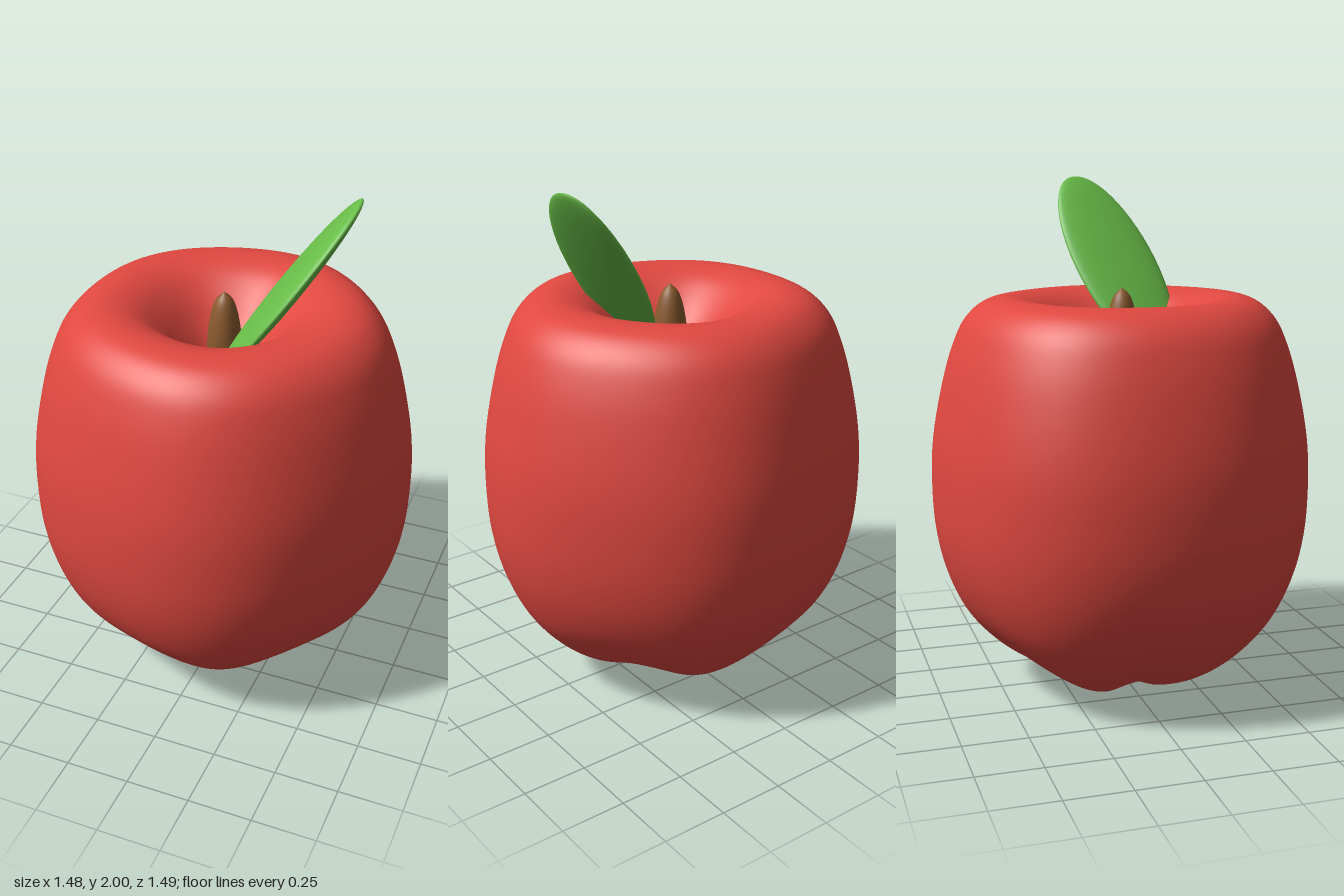
import * as THREE from 'three';
import { mergeVertices } from 'three/addons/utils/BufferGeometryUtils.js';

const material = (name, color) => {
  const m = new THREE.MeshStandardMaterial({ color });
  m.name = name;
  return m;
};

// Smooth turned shape from a few [radius, height] points, listed bottom to top
function turned(points, steps, sides) {
  const curve = new THREE.CatmullRomCurve3(points.map(([r, y]) => new THREE.Vector3(r, y, 0)), false, 'centripetal');
  const profile = curve.getPoints(steps).map(p => new THREE.Vector2(Math.max(0, p.x), p.y));
  return new THREE.LatheGeometry(profile, sides);
}

// Weld the seam and poles so that the normals run smoothly all round
function smooth(geometry) {
  geometry.deleteAttribute('uv');
  geometry.deleteAttribute('normal');
  const welded = mergeVertices(geometry, 1e-5);
  welded.computeVertexNormals();
  return welded;
}

export function createModel() {
  const group = new THREE.Group();
  const red = material('apple red', 0xe04840);
  const green = material('leaf green', 0x68bc48);
  const brown = material('stem brown', 0x8a5a2e);
  const axisX = -0.01;

  const add = (name, geometry, mat) => {
    const mesh = new THREE.Mesh(geometry, mat);
    mesh.name = name;
    group.add(mesh);
    return mesh;
  };

  // Body: turned profile with a hollow at each end
  const body = turned([
    [0, 0.07], [0.05, 0.045], [0.1, 0.01], [0.16, 0], [0.25, 0.025], [0.38, 0.09], [0.51, 0.19],
    [0.62, 0.32], [0.69, 0.47], [0.73, 0.64], [0.741, 0.83], [0.733, 1.0], [0.697, 1.2],
    [0.652, 1.36], [0.6, 1.47], [0.525, 1.535], [0.43, 1.553], [0.33, 1.525], [0.24, 1.455],
    [0.16, 1.365], [0.08, 1.275], [0, 1.24],
  ], 110, 100);
  // Five soft lobes, strongest underneath
  const pos = body.attributes.position;
  for (let i = 0; i < pos.count; i++) {
    const x = pos.getX(i), y = pos.getY(i), z = pos.getZ(i);
    const r = Math.hypot(x, z);
    const wave = Math.cos(5 * Math.atan2(z, x));
    const low = Math.max(0, 1 - y / 0.55) ** 2 * Math.min(1, r / 0.25);
    const scale = 1 + (0.013 + 0.035 * low) * wave;
    pos.setXYZ(i, x * scale, y + 0.022 * low * (1 - wave), z * scale);
  }
  add('body', smooth(body), red).position.x = axisX;

  // Stem: slim bulb with a pointed tip
  const stem = turned([
    [0, 1.1], [0.045, 1.15], [0.064, 1.28], [0.065, 1.4], [0.05, 1.5], [0.03, 1.555], [0, 1.585],
  ], 24, 20);
  add('stem', smooth(stem), brown).position.x = axisX;

  // Leaf: flattened ellipsoid set by its long, wide and thin half-axes
  const long = new THREE.Vector3(0.237, 0.33, -0.055);
  const wide = new THREE.Vector3(-0.025, -0.09, 0.204);
  const thin = long.clone().cross(wide).setLength(0.037);
  const leaf = new THREE.SphereGeometry(1, 40, 28);
  leaf.applyMatrix4(new THREE.Matrix4().makeBasis(long, wide, thin).setPosition(0.255, 1.658, 0.054));
  add('leaf', leaf, green);

  return group;
}
